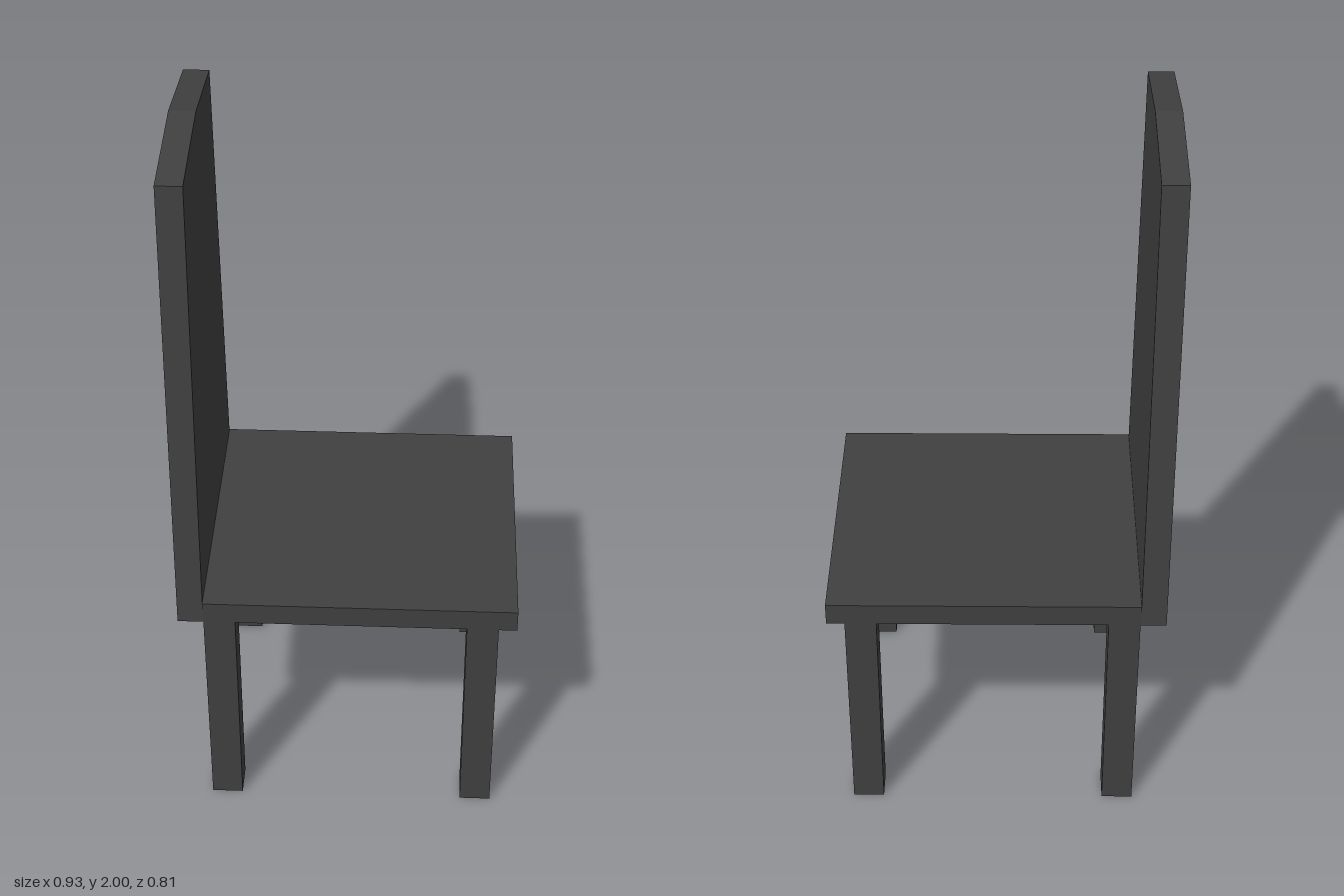
import * as THREE from 'three';

export function createModel() {
  const chair = new THREE.Group();
  chair.name = 'chair';
  const material = new THREE.MeshStandardMaterial({ color: 0x404040, flatShading: true });

  // Box given by its lower and upper corners
  function addBox(name, [x0, y0, z0], [x1, y1, z1]) {
    const mesh = new THREE.Mesh(new THREE.BoxGeometry(x1 - x0, y1 - y0, z1 - z0), material);
    mesh.position.set((x0 + x1) / 2, (y0 + y1) / 2, (z0 + z1) / 2);
    mesh.name = name;
    chair.add(mesh);
  }

  const halfWidth = 0.406, seatBottom = 0.656, seatTop = 0.72;
  const backRear = -0.465, backFace = -0.395, seatFront = 0.465;

  // Seat slab, butting against the backrest
  addBox('seat', [backFace, seatBottom, -halfWidth], [seatFront, seatTop, halfWidth]);

  // Four square legs
  const legWidth = 0.087;
  for (const [name, x] of [['rear', -0.394], ['front', 0.328]]) {
    addBox(name + 'LegLeft', [x, 0, -halfWidth], [x + legWidth, seatBottom, legWidth - halfWidth]);
    addBox(name + 'LegRight', [x, 0, halfWidth - legWidth], [x + legWidth, seatBottom, halfWidth]);
  }

  // Tapered backrest with a shallow peak, extruded through its thickness
  const outline = new THREE.Shape([
    [-halfWidth, seatBottom], [halfWidth, seatBottom],
    [0.316, 1.96], [0, 2], [-0.316, 1.96],
  ].map(([x, y]) => new THREE.Vector2(x, y)));
  const backGeometry = new THREE.ExtrudeGeometry(outline, {
    depth: backFace - backRear, bevelEnabled: false,
  });
  backGeometry.rotateY(Math.PI / 2);
  const backrest = new THREE.Mesh(backGeometry, material);
  backrest.position.x = backRear;
  backrest.name = 'backrest';
  chair.add(backrest);

  return chair;
}
